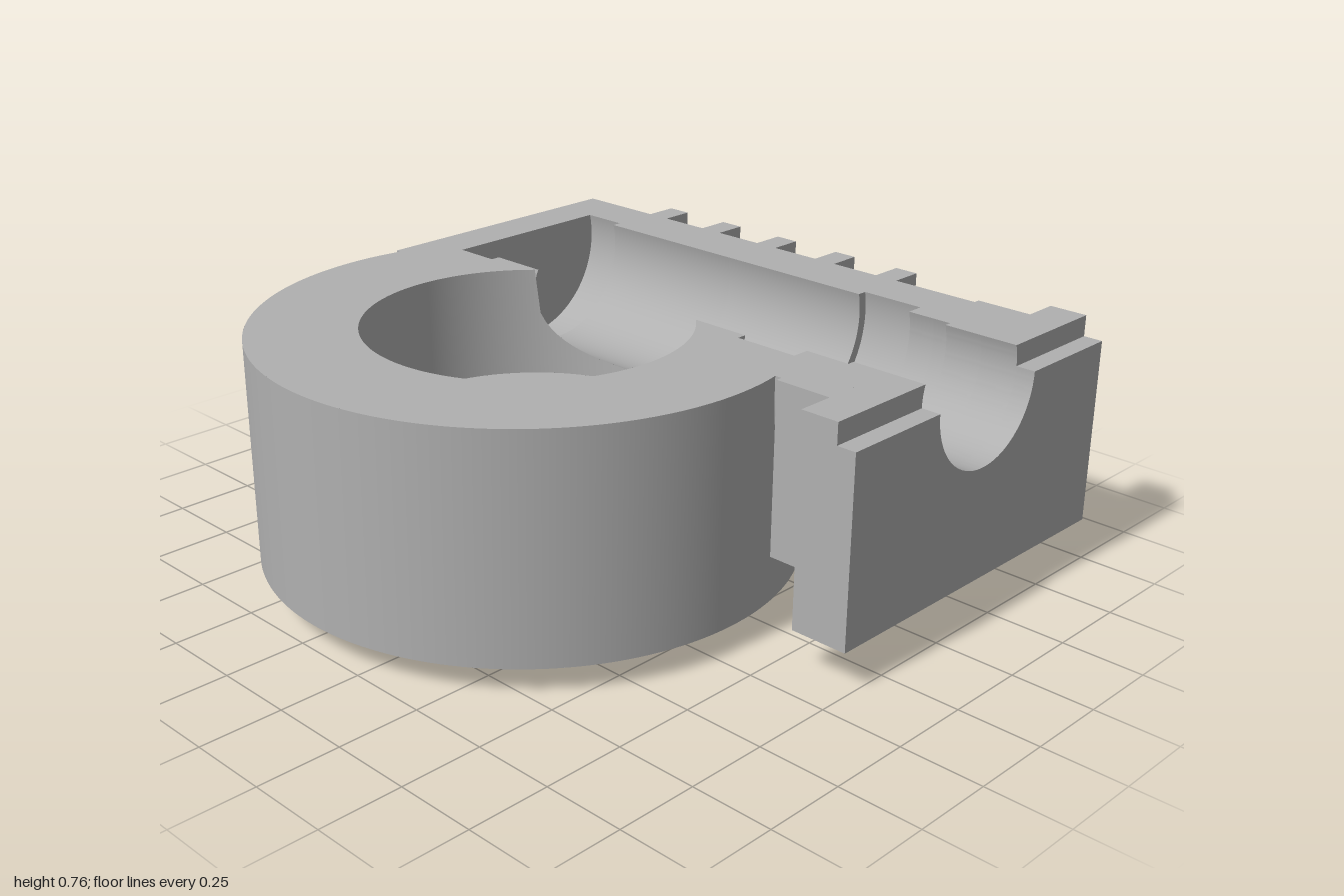
import * as THREE from 'three';
import { toCreasedNormals } from 'three/addons/utils/BufferGeometryUtils.js';

const TOP = 0.765;                       // parting plane
const CX = -0.187, CZ = 0.187;           // vertical axis of the ring
const AY = 0.70, AZ = -0.425;            // horizontal shaft axis, along x
const RING = 0.813, BORE = 0.487, HOLE = 0.367, BOSS = 0.56, FLOOR = 0.42;
const BODY = 0.445, SHAFT = 0.268, BEARING = 0.297, SEAL = 0.244, EXIT = 0.223;
const X0 = -0.71, X1 = 0.34;             // stretch of channel crossing the bore

export function createModel() {
  const group = new THREE.Group();
  const metal = new THREE.MeshStandardMaterial({ color: 0xb0b0b0, side: THREE.DoubleSide });
  metal.name = 'cast grey';

  const add = (name, geo) => {
    const mesh = new THREE.Mesh(geo, metal);
    mesh.name = name;
    group.add(mesh);
  };

  // Surface through rows of equally many points
  const sheet = (name, rows) => {
    const n = rows[0].length, index = [];
    for (let i = 0; i < rows.length - 1; i++)
      for (let j = 0; j < n - 1; j++) {
        const a = i * n + j, b = a + n;
        index.push(a, b, a + 1, b, b + 1, a + 1);
      }
    const geo = new THREE.BufferGeometry();
    geo.setAttribute('position', new THREE.Float32BufferAttribute(rows.flat(2), 3));
    geo.setIndex(index);
    geo.computeVertexNormals();
    add(name, geo);
  };

  // Arc [z, y] round the shaft axis, from front top, under, to back top
  const arc = (r, top = TOP, n = 96) => {
    const a0 = Math.asin((top - AY) / r), pts = [];
    for (let i = 0; i <= n; i++) {
      const a = a0 - (i / n) * (Math.PI + 2 * a0);
      pts.push([AZ + r * Math.cos(a), AY + r * Math.sin(a)]);
    }
    return pts;
  };

  // Prism along x from a [z, y] section
  const prism = (name, section, xa, xb) => {
    const shape = new THREE.Shape(section.map(([z, y]) => new THREE.Vector2(-z, y)));
    const geo = new THREE.ExtrudeGeometry(shape, { depth: xb - xa, bevelEnabled: false });
    geo.rotateY(Math.PI / 2).translate(xa, 0, 0);
    add(name, toCreasedNormals(geo, 0.5));
  };
  const roundOuter = [[AZ + BODY, TOP], ...arc(BODY, AY), [AZ - BODY, TOP]];
  const boxOuter = (zf, zb, bottom, top) => [[zf, top], [zf, bottom], [zb, bottom], [zb, top]];
  const notched = (outer, r, top) => [...outer, ...arc(r, top).reverse()];

  // Shaft housing, section by section
  prism('closedEnd', roundOuter, -1, -0.855);
  prism('leftBearingSeat', notched(roundOuter, BEARING), -0.855, X0);
  prism('rightBearingSeat', notched(roundOuter, BEARING), X1, 0.545);
  prism('sealSeat', notched(roundOuter, SEAL), 0.545, 0.63);
  prism('neckInner', notched(boxOuter(0.04, -0.89, 0.24, TOP), SEAL), 0.63, 0.69);
  prism('neckOuter', notched(boxOuter(0.04, -0.89, 0.24, TOP), EXIT), 0.69, 0.81);
  prism('flange', notched(boxOuter(0.155, -1, 0.125, TOP), EXIT), 0.81, 0.93);
  prism('flangeLip', notched(boxOuter(0.155, -1, 0.125, AY), EXIT, AY), 0.93, 0.99);

  // Middle stretch, open where it meets a cylinder of radius R round the ring axis
  const openSurface = (name, profile, R) => {
    const halfWidth = z => Math.sqrt(Math.max(0, R * R - (z - CZ) ** 2));
    sheet(name + 'Left', profile.map(([z, y]) => [[X0, y, z], [Math.max(X0, CX - halfWidth(z)), y, z]]));
    sheet(name + 'Right', profile.map(([z, y]) => [[Math.min(X1, CX + halfWidth(z)), y, z], [X1, y, z]]));
  };
  openSurface('shaftChannel', arc(SHAFT), BORE);
  openSurface('housingUnderside', arc(BODY, AY), RING - 0.05);
  for (const x of [X0, X1]) {
    const inner = arc(SHAFT), outer = arc(BEARING);
    sheet('bearingShoulder', inner.map(([z, y], i) => [[x, y, z], [x, outer[i][1], outer[i][0]]]));
  }
  const backEdge = arc(SHAFT).at(-1)[0], frontEdge = arc(SHAFT)[0][0], seatEdge = arc(BEARING)[0][0];
  const back = AZ - BODY;
  sheet('backRim', [[X0, X1].map(x => [x, TOP, back]), [X0, X1].map(x => [x, TOP, backEdge])]);
  sheet('backWall', [[X0, X1].map(x => [x, AY, back]), [X0, X1].map(x => [x, TOP, back])]);

  // Cooling ribs on the back
  const ribInner = arc(0.4, AY, 48).slice(24).map(([z, y]) => [z, y]);
  const rib = [[-0.975, TOP], [-0.975, 0.25], [AZ, 0.25], ...ribInner, [AZ - 0.4, TOP]];
  for (let i = 0; i < 5; i++) {
    const x = -0.675 + i * 0.244;
    prism('rib', rib, x - 0.039, x + 0.039);
  }

  // Ring floor, through hole, boss and underside
  const profile = [[BORE, FLOOR], [HOLE, FLOOR], [HOLE, 0], [BOSS, 0], [BOSS, 0.08], [RING, 0.08]];
  const lathe = new THREE.LatheGeometry(profile.map(p => new THREE.Vector2(...p)), 128);
  lathe.translate(CX, 0, CZ);
  add('ringBase', toCreasedNormals(lathe.toNonIndexed(), 0.5));

  // Upright ring walls whose top height follows a rule in z
  const wall = (name, r, bottom, topAt, n = 192) => {
    const rows = [];
    for (let i = 0; i <= n; i++) {
      const a = (i / n) * Math.PI * 2;
      const x = CX + r * Math.sin(a), z = CZ - r * Math.cos(a);
      rows.push([[x, bottom, z], [x, topAt(z), z]]);
    }
    sheet(name, rows);
  };
  const under = (r, z) => AY - Math.sqrt(Math.max(0, r * r - (z - AZ) ** 2));
  wall('ringOuterWall', RING, 0.08, z => (z < 0 ? under(BODY, z) + 0.05 : TOP));
  wall('boreWall', BORE, FLOOR, z => (z < frontEdge ? under(SHAFT, z) : TOP));

  // Flat top of the ring, in front of the channel
  const top = [];
  const sweep = (r, zEdge, dir) => {
    const a0 = Math.acos((CZ - zEdge) / r);
    for (let i = 0; i <= 128; i++) {
      const t = dir > 0 ? i / 128 : 1 - i / 128;
      const a = a0 + t * 2 * (Math.PI - a0);
      top.push(new THREE.Vector2(CX + r * Math.sin(a), -(CZ - r * Math.cos(a))));
    }
  };
  sweep(RING, seatEdge, 1);
  top.push(new THREE.Vector2(X0, -seatEdge), new THREE.Vector2(X0, -frontEdge));
  sweep(BORE, frontEdge, -1);
  top.push(new THREE.Vector2(X1, -frontEdge), new THREE.Vector2(X1, -seatEdge));
  const face = new THREE.ShapeGeometry(new THREE.Shape(top));
  face.rotateX(-Math.PI / 2).translate(0, TOP, 0);
  add('ringTop', face);

  return group;
}
